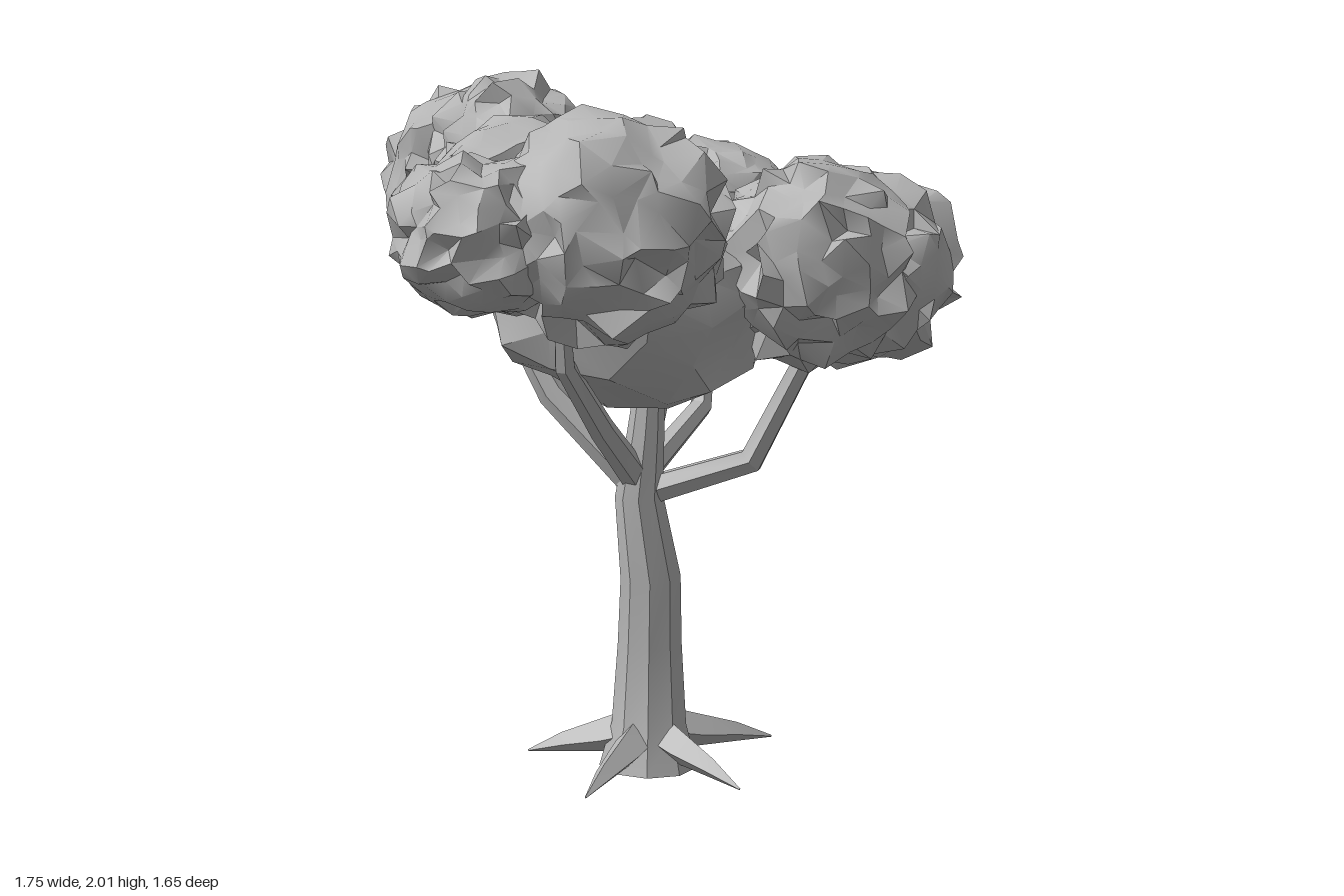
import * as THREE from 'three';
import { toCreasedNormals } from 'three/addons/utils/BufferGeometryUtils.js';

// Faceted tapering limb through points [x, y, z, radius]
function limb(points, sides) {
  const P = points.map((p) => new THREE.Vector3(p[0], p[1], p[2]));
  const n = P.length;
  const dir = P[n - 1].clone().sub(P[0]).normalize();
  const ref = Math.abs(dir.y) > 0.95 ? new THREE.Vector3(1, 0, 0)
    : dir.clone().cross(new THREE.Vector3(0, 1, 0)).normalize();
  const pos = [], idx = [];
  P.forEach((p, k) => {
    const t = P[Math.min(k + 1, n - 1)].clone().sub(P[Math.max(k - 1, 0)]).normalize();
    const u = ref.clone().addScaledVector(t, -ref.dot(t)).normalize();
    const v = t.clone().cross(u);
    for (let i = 0; i < sides; i++) {
      const a = (i / sides) * Math.PI * 2, r = points[k][3];
      const q = p.clone().addScaledVector(u, Math.cos(a) * r).addScaledVector(v, Math.sin(a) * r);
      pos.push(q.x, q.y, q.z);
    }
  });
  for (let k = 0; k < n - 1; k++) {
    for (let i = 0; i < sides; i++) {
      const a = k * sides + i, b = k * sides + ((i + 1) % sides);
      idx.push(a, b, b + sides, a, b + sides, a + sides);
    }
  }
  // End caps
  const last = (n - 1) * sides;
  for (let i = 1; i < sides - 1; i++) {
    idx.push(0, i + 1, i, last, last + i, last + i + 1);
  }
  const g = new THREE.BufferGeometry();
  g.setAttribute('position', new THREE.Float32BufferAttribute(pos, 3));
  g.setIndex(idx);
  return toCreasedNormals(g, 0.4);
}

// Repeatable noise from a position, 0..1
function noise(x, y, z, seed) {
  const s = Math.sin(Math.round(x * 500) * 12.9898 + Math.round(y * 500) * 78.233 + Math.round(z * 500) * 37.719 + seed * 4.17) * 43758.5453;
  return s - Math.floor(s);
}

// Crumpled leaf ball: some vertices stay on the ellipsoid, others are pushed about
function leafBall(radii, detail, amount, seed) {
  const g = new THREE.IcosahedronGeometry(1, detail);
  g.deleteAttribute('uv');
  const p = g.attributes.position;
  for (let i = 0; i < p.count; i++) {
    const x = p.getX(i), y = p.getY(i), z = p.getZ(i);
    const smoothPatch = Math.sin(x * 6 + seed) + Math.sin(y * 6 + seed * 2) + Math.sin(z * 6 + seed * 3) > 1.1;
    const k = smoothPatch ? amount * 0.3 : amount;
    const r = 1 + (noise(x, y, z, seed) - 0.55) * k * 0.8;
    const j = (s) => (noise(x, y, z, seed + s) - 0.5) * k;
    p.setXYZ(i, (x * r + j(1)) * radii[0], (y * r + j(2)) * radii[1], (z * r + j(3)) * radii[2]);
  }
  return toCreasedNormals(g, 0.55);
}

export function createModel() {
  const tree = new THREE.Group();
  tree.name = 'tree';
  const clay = new THREE.MeshStandardMaterial({ color: 0xb4b4b4 });
  clay.name = 'plainGrey';

  const add = (name, geometry, parent = tree) => {
    const m = new THREE.Mesh(geometry, clay);
    m.name = name;
    parent.add(m);
    return m;
  };
  const group = (name) => {
    const g = new THREE.Group();
    g.name = name;
    tree.add(g);
    return g;
  };

  // Trunk with a gentle bend
  add('trunk', limb([
    [0.03, 0.01, 0.02, 0.145], [0.035, 0.14, 0.015, 0.11], [0.04, 0.38, 0.01, 0.094],
    [0.037, 0.58, 0.02, 0.088], [0.002, 0.82, 0.015, 0.07], [0.015, 1.0, 0.03, 0.054],
    [0.035, 1.3, 0.04, 0.03],
  ], 9));

  // Five pointed roots, evenly spread around the foot
  const roots = group('roots');
  for (const [x, z] of [[0.44, 0.04], [0.13, 0.375], [-0.28, 0.23], [-0.26, -0.19], [0.12, -0.365]]) {
    const dx = x - 0.03, dz = z - 0.02;
    const at = (f, y, r) => [0.03 + dx * f, y, 0.02 + dz * f, r];
    add('root', limb([at(0.1, 0.12, 0.06), at(0.38, 0.09, 0.05), at(0.7, 0.065, 0.03), at(1, 0.033, 0.003)], 4), roots);
  }

  // Branches reaching into the foliage
  const branches = group('branches');
  const paths = [
    [[0.02, 0.83, 0.02, 0.045], [0.25, 0.935, 0.22, 0.04], [0.36, 1.22, 0.31, 0.032], [0.38, 1.4, 0.34, 0.022]],
    [[0.02, 0.87, 0, 0.04], [0.28, 1.03, -0.12, 0.034], [0.37, 1.25, -0.24, 0.028], [0.43, 1.45, -0.33, 0.02]],
    [[0, 0.86, 0.01, 0.055], [-0.18, 1.1, -0.17, 0.044], [-0.26, 1.3, -0.26, 0.032], [-0.28, 1.62, -0.36, 0.02]],
    [[0.02, 0.92, 0, 0.042], [0.16, 1.13, -0.14, 0.036], [0.27, 1.42, -0.28, 0.022]],
    [[0, 0.86, 0.02, 0.045], [-0.16, 1.04, 0.1, 0.038], [-0.32, 1.24, 0.2, 0.03], [-0.36, 1.45, 0.26, 0.02]],
  ];
  for (const path of paths) add('branch', limb(path, 6), branches);

  // Foliage: coarse core and finer outer balls [centre, radii, detail, crumple]
  const foliage = group('foliage');
  const balls = [
    ['coreFoliage', [-0.01, 1.42, 0.01], [0.41, 0.32, 0.43], 2, 0.26],
    ['frontRightFoliage', [-0.33, 1.635, 0.48], [0.3, 0.28, 0.31], 4, 0.2],
    ['frontRightFoliage', [-0.43, 1.64, 0.2], [0.28, 0.26, 0.26], 4, 0.18],
    ['frontRightFoliage', [-0.63, 1.62, 0.38], [0.23, 0.2, 0.22], 4, 0.2],
    ['frontLeftFoliage', [0.37, 1.5, 0.35], [0.29, 0.275, 0.265], 4, 0.18],
    ['frontLeftFoliage', [0.57, 1.47, 0.2], [0.28, 0.27, 0.37], 4, 0.2],
    ['backRightFoliage', [-0.24, 1.745, -0.31], [0.23, 0.25, 0.25], 4, 0.18],
    ['backRightFoliage', [-0.27, 1.7, -0.54], [0.26, 0.255, 0.26], 4, 0.18],
    ['backLeftFoliage', [0.45, 1.56, -0.37], [0.275, 0.235, 0.3], 4, 0.18],
  ];
  balls.forEach(([name, centre, radii, detail, amount], i) => {
    add(name, leafBall(radii, detail, amount, i * 5 + 1), foliage).position.set(...centre);
  });
  return tree;
}
